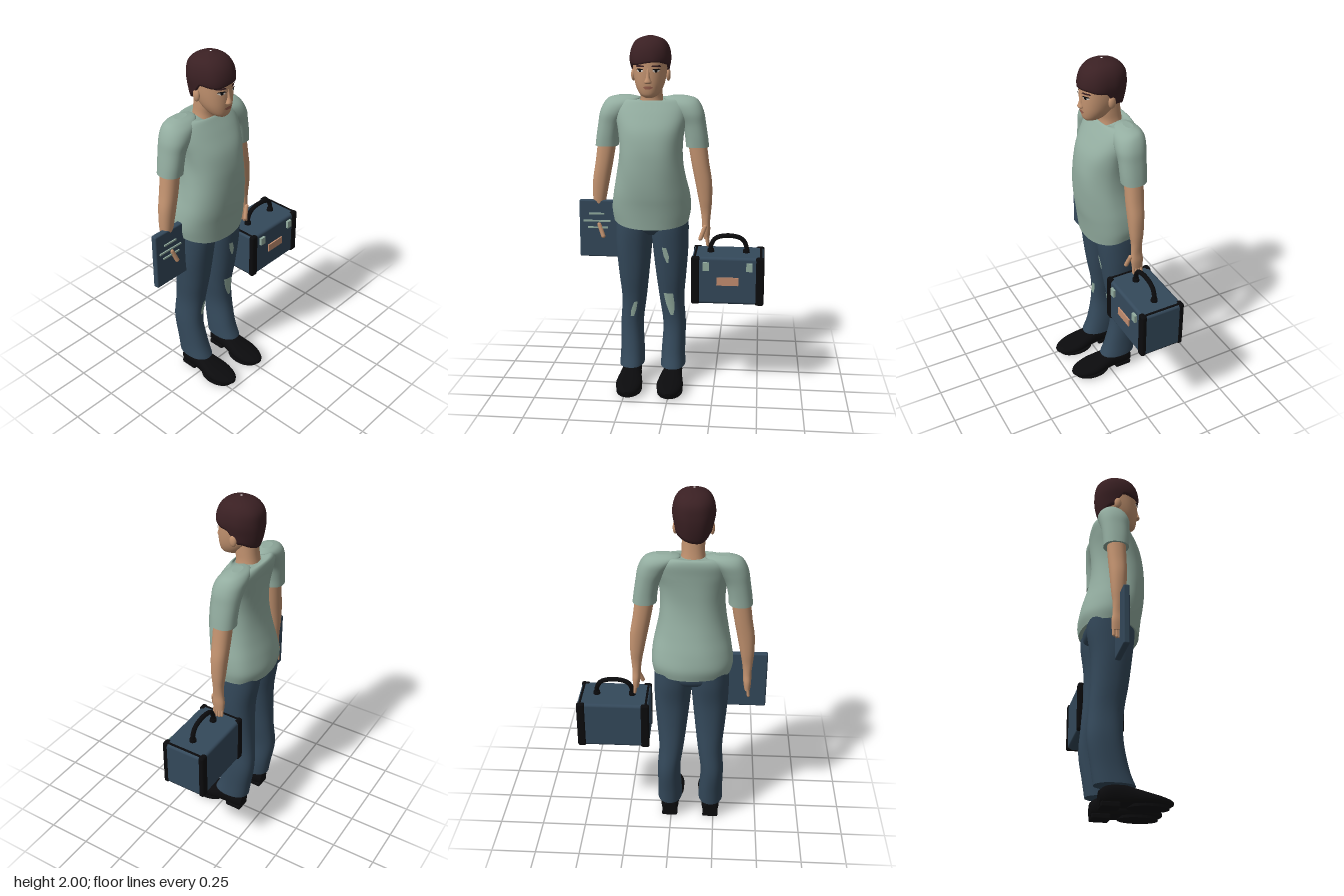
import * as THREE from 'three';
import { RoundedBoxGeometry } from 'three/addons/geometries/RoundedBoxGeometry.js';

const mat = (name, color) => Object.assign(new THREE.MeshStandardMaterial({ color }), { name });

// Rings are [y, centreX, radiusX, zBack, zFront]; at() blends them smoothly for t in 0..1
function at(rings, t) {
  const f = t * (rings.length - 1), i = Math.min(Math.floor(f), rings.length - 2), u = f - i;
  const r = k => rings[Math.max(0, Math.min(rings.length - 1, k))];
  return rings[0].map((_, c) => {
    const a = r(i - 1)[c], b = r(i)[c], d = r(i + 1)[c], e = r(i + 2)[c];
    return b + 0.5 * u * (d - a + u * (2 * a - 5 * b + 4 * d - e + u * (3 * (b - d) + e - a)));
  });
}

function atHeight(rings, y) {
  let lo = 0, hi = 1;
  for (let k = 0; k < 24; k++) {
    const m = (lo + hi) / 2;
    if (at(rings, m)[0] < y) lo = m; else hi = m;
  }
  return at(rings, lo);
}

function ringPoint([y, cx, rx, zb, zf], a, scale = 1) {
  const p = v => Math.sign(v) * Math.abs(v) ** 0.9;
  return [cx + rx * scale * p(Math.sin(a)), y, (zb + zf) / 2 + (zf - zb) / 2 * scale * p(Math.cos(a))];
}

// Surface from a grid of points given by a row and column function
function grid(rows, cols, closed, point, skip = () => false) {
  const pos = [], idx = [], n = closed ? cols : cols + 1;
  for (let i = 0; i <= rows; i++) for (let j = 0; j < n; j++) pos.push(...point(i, j));
  for (let i = 0; i < rows; i++) {
    if (skip(i)) continue;
    for (let j = 0; j < cols; j++) {
      const k = (j + 1) % n, a = i * n + j, b = i * n + k;
      idx.push(a, b, b + n, a, b + n, a + n);
    }
  }
  const g = new THREE.BufferGeometry();
  g.setAttribute('position', new THREE.Float32BufferAttribute(pos, 3));
  g.setIndex(idx);
  g.computeVertexNormals();
  return g;
}

// Closed tube through the rings, with crisp end caps
function loft(rings, rule = p => p, cols = 32) {
  const steps = (rings.length - 1) * 5, last = steps + 4;
  return grid(last, cols, true, (i, j) => {
    const t = Math.max(0, Math.min(1, (i - 2) / steps)), a = j / cols * Math.PI * 2;
    return rule(ringPoint(at(rings, t), a, i === 0 || i === last ? 0 : 1), a, t);
  }, i => i === 1 || i === last - 2);
}

// Thin face lying on the front of a loft; rows are [y, xLeft, xRight] from the bottom up
function patch(rings, rows, lift = 0.004) {
  return grid(rows.length - 1, 6, false, (i, j) => {
    const [y, l, r] = rows[i], x = l + (r - l) * j / 6;
    const [, cx, rx, zb, zf] = atHeight(rings, y);
    const s = Math.min(1, Math.abs((x - cx) / rx)) ** (1 / 0.9);
    return [x, y, (zb + zf) / 2 + (zf - zb) / 2 * Math.sqrt(1 - s * s) ** 0.9 + lift];
  });
}

const side = (rings, s) => rings.map(([y, cx, ...rest]) => [y, cx * s, ...rest]);

const TORSO = [
  [0.99, 0, 0.212, -0.225, 0.09], [1.05, 0, 0.222, -0.235, 0.1], [1.13, 0, 0.214, -0.22, 0.115],
  [1.22, 0, 0.195, -0.195, 0.125], [1.31, 0, 0.18, -0.175, 0.128], [1.4, 0, 0.174, -0.165, 0.122],
  [1.49, 0, 0.182, -0.165, 0.1], [1.57, 0, 0.2, -0.17, 0.055], [1.63, 0, 0.2, -0.175, 0.015],
  [1.66, 0, 0.15, -0.165, -0.005], [1.655, 0, 0.07, -0.14, 0]];
const SLEEVE = [
  [1.395, 0.253, 0.064, -0.148, -0.01], [1.45, 0.247, 0.063, -0.15, -0.006], [1.52, 0.233, 0.066, -0.155, -0.003],
  [1.58, 0.209, 0.08, -0.162, 0.002], [1.63, 0.178, 0.09, -0.165, -0.01], [1.66, 0.152, 0.088, -0.15, -0.04],
  [1.674, 0.15, 0.04, -0.12, -0.075]];
const ARM = [
  [0.87, 0.308, 0.016, -0.112, -0.05], [0.92, 0.306, 0.022, -0.115, -0.044], [0.97, 0.304, 0.023, -0.108, -0.046],
  [1.03, 0.303, 0.029, -0.107, -0.045], [1.1, 0.299, 0.038, -0.114, -0.037], [1.2, 0.288, 0.047, -0.12, -0.03],
  [1.3, 0.27, 0.049, -0.125, -0.027], [1.43, 0.25, 0.052, -0.13, -0.028]];
const LEG = [
  [0.115, 0.12, 0.071, -0.165, 0.048], [0.2, 0.12, 0.068, -0.178, 0.015], [0.35, 0.124, 0.065, -0.2, -0.015],
  [0.5, 0.11, 0.07, -0.192, -0.01], [0.65, 0.107, 0.085, -0.182, 0.015], [0.8, 0.105, 0.099, -0.182, 0.035],
  [0.93, 0.1, 0.106, -0.2, 0.05], [1.02, 0.095, 0.108, -0.205, 0.052]];
const PELVIS = [[0.9, 0, 0.06, -0.13, 0.0], [0.94, 0, 0.17, -0.19, 0.045], [0.99, 0, 0.203, -0.205, 0.06], [1.06, 0, 0.2, -0.2, 0.06]];
// Shoe rings run from heel to toe: [z, centreX, radiusX, -top, -bottom]
const SHOE = [
  [-0.138, 0.12, 0.038, -0.09, -0.012], [-0.1, 0.12, 0.05, -0.115, -0.008], [-0.03, 0.12, 0.054, -0.125, -0.01],
  [0.04, 0.118, 0.065, -0.108, -0.012], [0.11, 0.117, 0.075, -0.088, -0.012], [0.17, 0.116, 0.066, -0.074, -0.014],
  [0.215, 0.115, 0.044, -0.062, -0.02], [0.238, 0.115, 0.016, -0.052, -0.032]];
const HEAD = [
  [1.674, 0, 0.024, 0.01, 0.07], [1.69, 0, 0.05, -0.03, 0.085], [1.73, 0, 0.073, -0.075, 0.093],
  [1.78, 0, 0.086, -0.11, 0.096], [1.84, 0, 0.092, -0.13, 0.095], [1.9, 0, 0.092, -0.13, 0.088], [1.96, 0, 0.06, -0.09, 0.04]];
const HAIR = [
  [1.72, 0, 0.068, -0.125, 0.08], [1.76, 0, 0.09, -0.138, 0.09], [1.82, 0, 0.102, -0.15, 0.101],
  [1.88, 0, 0.111, -0.153, 0.106], [1.94, 0, 0.1, -0.143, 0.088], [1.98, 0, 0.068, -0.1, 0.048], [2, 0, 0.006, -0.03, -0.018]];

export function createModel() {
  const skin = mat('skin', 0xc39370), shirt = mat('shirtGreen', 0x93ada0), denim = mat('denimBlue', 0x34495b);
  const hairMat = mat('hairBrown', 0x3a2023), black = mat('black', 0x0b0b0d), lipMat = mat('lipBrown', 0x9c6250);
  const white = mat('eyeWhite', 0xd6d0c8), tan = mat('labelTan', 0xc48e70);
  const model = new THREE.Group(), person = new THREE.Group();
  model.name = 'manWithCase';
  person.name = 'person';
  person.position.x = -0.112;
  model.add(person);
  const add = (parent, name, geometry, material, x = 0, y = 0, z = 0) => {
    const m = new THREE.Mesh(geometry, material);
    m.name = name;
    m.position.set(x, y, z);
    parent.add(m);
    return m;
  };
  const tube = (parent, name, pts, r, m) => add(parent, name, new THREE.TubeGeometry(
    new THREE.CatmullRomCurve3(pts.map(p => new THREE.Vector3(...p))), 20, r, 10), m);

  // Shirt with soft folds, a dipping hem and collar
  add(person, 'shirt', loft(TORSO, ([x, y, z], a, t) => {
    const f = Math.max(0, Math.cos(a)), w = 1 + 0.014 * Math.sin(5 * a + 9 * y) * Math.sin(14 * y + 2 * Math.cos(a));
    const dip = t < 0.15 ? 0.04 * f * (1 - t / 0.15) : t > 0.85 ? 0.022 * f * (t - 0.85) / 0.15 : 0;
    return [x * w, y - dip, z * w];
  }, 48), shirt);
  add(person, 'trouserSeat', loft(PELVIS), denim);

  for (const [s, n] of [[1, 'left'], [-1, 'right']]) {
    add(person, n + 'Sleeve', loft(side(SLEEVE, s)), shirt);
    add(person, n + 'Arm', loft(side(ARM, s)), skin);
    // Fingers and thumb
    for (let k = 0; k < 4; k++) {
      const z = -0.104 + k * 0.016, end = 0.825 + Math.abs(k - 1.6) * 0.008;
      const f = add(person, n + 'Finger', new THREE.CapsuleGeometry(0.0085, 0.885 - end, 4, 8), skin, s * 0.312, (0.89 + end) / 2, z);
      f.rotation.z = s * 0.12;
    }
    const thumb = add(person, n + 'Thumb', new THREE.CapsuleGeometry(0.012, 0.07, 4, 10), skin, s * 0.288, 0.912, -0.036);
    thumb.rotation.set(-0.2, 0, -s * 0.35);

    add(person, n + 'TrouserLeg', loft(side(LEG, s)), denim);
    // Shoe with a heel block
    add(person, n + 'Shoe', loft(side(SHOE, s)).rotateX(Math.PI / 2), black);
    add(person, n + 'Heel', new RoundedBoxGeometry(0.09, 0.03, 0.1, 2, 0.008), black, s * 0.12, 0.015, -0.085);
    add(person, n + 'Sole', new THREE.CylinderGeometry(0.072, 0.072, 0.014, 24).scale(1, 1, 1.5), black, s * 0.117, 0.017, 0.11);

    // Ear, eye and brow
    add(person, n + 'Ear', new THREE.SphereGeometry(1, 12, 10).scale(0.013, 0.034, 0.021), skin, s * 0.095, 1.79, -0.035);
    const strip = rows => rows.map(([y, a, b]) => s > 0 ? [y, a, b] : [y, -b, -a]);
    add(person, n + 'EyeWhite', patch(HEAD, strip([[1.811, 0.034, 0.05], [1.818, 0.024, 0.062], [1.825, 0.032, 0.054]]), 0.003), white);
    add(person, n + 'Pupil', patch(HEAD, strip([[1.811, 0.038, 0.047], [1.818, 0.035, 0.05], [1.825, 0.037, 0.048]]), 0.005), black);
    add(person, n + 'EyeLid', patch(HEAD, strip([[1.823, 0.022, 0.064], [1.829, 0.03, 0.058]]), 0.006), black);
    add(person, n + 'Brow', patch(HEAD, strip([[1.838, 0.018, 0.068], [1.847, 0.024, 0.062]]), 0.005), hairMat);
  }

  // Worn patches on the trousers
  const L = LEG, R = side(LEG, -1);
  add(person, 'thighPatch', patch(L, [[0.75, 0.092, 0.102], [0.79, 0.075, 0.105], [0.84, 0.065, 0.09]]), shirt);
  add(person, 'leftKneePatch', patch(L, [[0.425, 0.11, 0.125], [0.46, 0.095, 0.132], [0.5, 0.082, 0.132], [0.56, 0.07, 0.125]]), shirt);
  add(person, 'rightKneePatch', patch(R, [[0.41, -0.122, -0.103], [0.45, -0.118, -0.09], [0.5, -0.1, -0.08]]), shirt);

  // Head, neck, nose and mouth
  add(person, 'head', loft(HEAD), skin);
  add(person, 'neck', loft([[1.6, 0, 0.075, -0.145, 0], [1.66, 0, 0.062, -0.132, -0.008], [1.71, 0, 0.06, -0.125, 0], [1.78, 0, 0.06, -0.12, 0.01]]), skin);
  add(person, 'nose', loft([[1.75, 0, 0.01, 0.08, 0.1], [1.758, 0, 0.02, 0.075, 0.114], [1.785, 0, 0.011, 0.07, 0.107], [1.83, 0, 0.009, 0.07, 0.096]]), skin);
  add(person, 'lips', patch(HEAD, [[1.722, -0.014, 0.014], [1.731, -0.028, 0.028], [1.738, -0.012, 0.012]]), lipMat);

  // Hair cap whose lower edge falls from the fringe to the nape
  const step = THREE.MathUtils.smoothstep;
  add(person, 'hair', grid(24, 48, true, (i, j) => {
    const a = j / 48 * Math.PI * 2, c = Math.cos(a);
    const low = 1.745 + 0.03 * step(c, -0.9, -0.3) + 0.08 * step(c, -0.25, 0.2) + 0.008 * Math.sin(3 * a + 0.6);
    const t = Math.max(0, (i - 1) / 23), e = 1 - (1 - t) ** 1.6;
    const lump = 1 + 0.012 * Math.sin(7 * a + 4 * t) * (1 - t);
    return ringPoint(atHeight(HAIR, low + (2 - low) * e), a, i ? lump : 0.85);
  }), hairMat);

  // Board held in the right hand, with ruled lines
  add(model, 'board', new RoundedBoxGeometry(0.235, 0.33, 0.034, 2, 0.008), denim, -0.408, 0.92, -0.058);
  for (const [x, y, w] of [[-0.425, 1.008, 0.085], [-0.425, 0.966, 0.155], [-0.42, 0.928, 0.115]])
    add(model, 'boardLine', new THREE.BoxGeometry(w, 0.009, 0.008), shirt, x, y, -0.038);

  // Case: body, corner posts, edge bands, handle, latches and label
  const box = new THREE.Group();
  box.name = 'case';
  box.position.set(0.322, 0.6625, -0.06);
  model.add(box);
  add(box, 'caseBody', new RoundedBoxGeometry(0.4, 0.27, 0.25, 3, 0.016), denim);
  for (const sx of [-1, 1]) {
    for (const sz of [-1, 1])
      add(box, 'cornerPost', new RoundedBoxGeometry(0.048, 0.276, 0.032, 3, 0.012), black, sx * 0.179, 0, sz * 0.114);
    for (const sy of [-1, 1])
      add(box, 'edgeBand', new THREE.BoxGeometry(0.012, 0.008, 0.22), black, sx * 0.184, sy * 0.134, 0);
    add(box, 'latch', new THREE.BoxGeometry(0.034, 0.046, 0.016), shirt, sx * 0.12, 0.085, 0.132);
    add(box, 'handleMount', new THREE.CylinderGeometry(0.018, 0.02, 0.02, 16), black, sx * 0.1, 0.142, 0);
  }
  add(box, 'label', new THREE.BoxGeometry(0.122, 0.046, 0.008), tan, 0, 0, 0.13);
  tube(box, 'handle', [[-0.1, 0.13, 0], [-0.1, 0.17, 0], [-0.075, 0.213, 0], [0, 0.231, 0], [0.075, 0.213, 0], [0.1, 0.17, 0], [0.1, 0.13, 0]], 0.013, black);
  return model;
}
